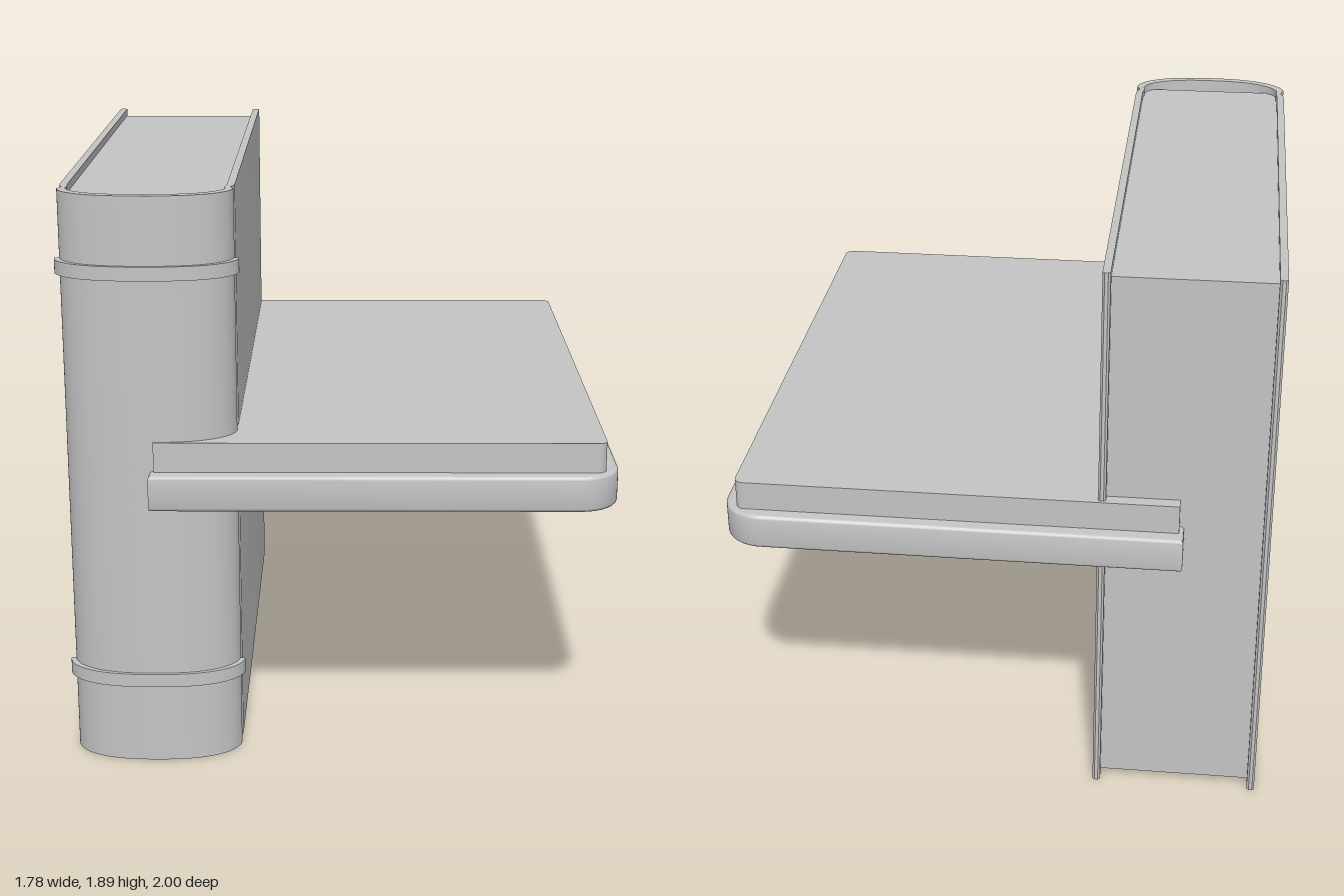
import * as THREE from 'three';
import { toCreasedNormals } from 'three/addons/utils/BufferGeometryUtils.js';

const CX = -0.605; // centre plane of the book

// Extrude a plan outline of [x, z] points upward from y0 to y1
function prism(shape, y0, y1, bevel = 0) {
  const geo = new THREE.ExtrudeGeometry(shape, {
    depth: y1 - y0 - 2 * bevel, curveSegments: 10,
    bevelEnabled: bevel > 0, bevelThickness: bevel, bevelSize: bevel, bevelOffset: -bevel, bevelSegments: 3,
  });
  geo.rotateX(-Math.PI / 2);
  geo.translate(0, y0 + bevel, 0);
  return toCreasedNormals(geo, 0.6);
}

const outline = (pts) => new THREE.Shape(pts.map(([x, z]) => new THREE.Vector2(x, -z)));

// Mirror a half path (offsets from the centre plane) into a full open path
const mirrored = (half) => [
  ...half.map(([d, z]) => [CX - d, z]),
  ...half.slice().reverse().map(([d, z]) => [CX + d, z]),
];

// Closed ring between an outer and an inner half path
const shell = (outer, inner) => outline([...mirrored(outer), ...mirrored(inner).reverse()]);

// Elliptical spine curve, from the side towards the centre
function arc(width, z0, depth, n = 14) {
  return Array.from({ length: n }, (_, i) => {
    const a = (i + 0.5) / n * Math.PI / 2;
    return [width * Math.cos(a) ** 0.8, z0 + depth * Math.sin(a)];
  });
}

// Rectangle rounded only at its two +x corners
function slabShape(x0, x1, z, r) {
  const s = new THREE.Shape();
  s.moveTo(x0, -z);
  s.lineTo(x1 - r, -z);
  s.absarc(x1 - r, -z + r, r, -Math.PI / 2, 0, false);
  s.lineTo(x1, z - r);
  s.absarc(x1 - r, z - r, r, 0, Math.PI / 2, false);
  s.lineTo(x0, z);
  s.closePath();
  return s;
}

export function createModel() {
  const group = new THREE.Group();
  const grey = new THREE.MeshStandardMaterial({ color: 0xc4c4c4 });
  grey.name = 'grey';
  const add = (name, geo) => {
    const mesh = new THREE.Mesh(geo, grey);
    mesh.name = name;
    group.add(mesh);
  };

  // Upright book: boards, hinge grooves and curved spine in one cover
  const outer = [[0.268, -0.945], [0.275, -0.938], [0.275, 0.745], [0.272, 0.765],
    [0.264, 0.785], [0.266, 0.8], ...arc(0.275, 0.81, 0.138)];
  const inner = [[0.257, -0.945], [0.25, -0.938], [0.25, 0.745], [0.249, 0.765],
    [0.246, 0.785], [0.246, 0.8], ...arc(0.25, 0.8, 0.118)];
  add('bookCover', prism(shell(outer, inner), 0, 1.89));

  // Page block, its front corners tucked inside the spine
  add('pageBlock', prism(outline(mirrored([[0.252, -0.912], [0.252, 0.8], [0.238, 0.84], [0.21, 0.866]])), 0.025, 1.865));

  // Raised bands around the spine
  const bandOuter = [[0.288, 0.822], ...arc(0.29, 0.822, 0.137)];
  const bandInner = [[0.268, 0.822], ...arc(0.268, 0.81, 0.132)];
  for (const y of [0.267, 1.627]) add('spineBand', prism(shell(bandOuter, bandInner), y, y + 0.045));

  // Horizontal shelf with soft edges and a thinner panel on top
  add('shelfBase', prism(slabShape(-0.605, 0.89, 1, 0.13), 0.89, 1.008, 0.012));
  add('shelfTop', prism(slabShape(-0.59, 0.845, 0.955, 0.03), 1.005, 1.105));

  return group;
}
